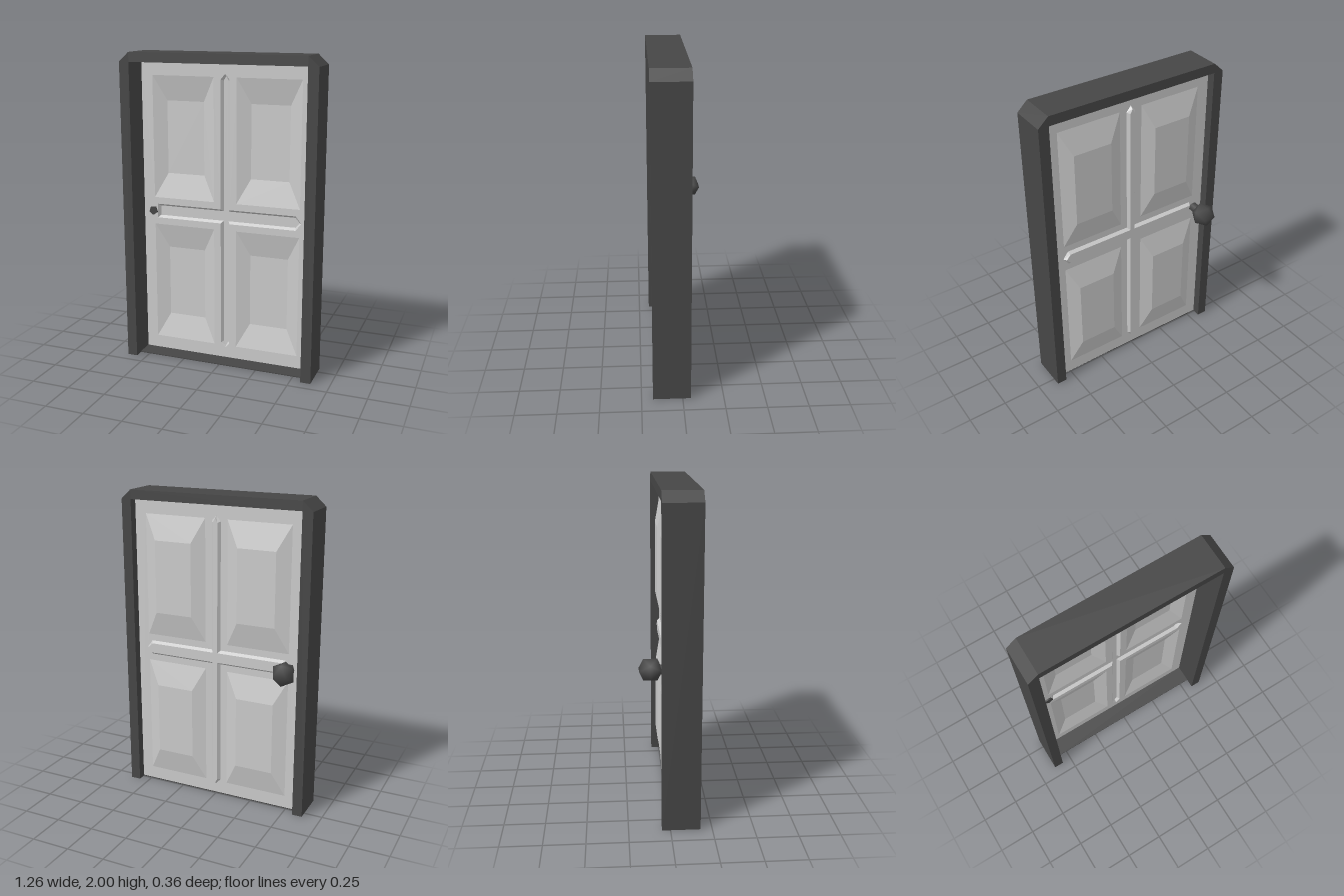
import * as THREE from 'three';
import { mergeVertices } from 'three/addons/utils/BufferGeometryUtils.js';

const SHEET_Z = 0.005;

const toPath = (pts, Type = THREE.Shape) => new Type(pts.map(([x, y]) => new THREE.Vector2(x, y)));

// Counter-clockwise rectangle
const rect = (x0, y0, x1, y1) => [[x0, y0], [x1, y0], [x1, y1], [x0, y1]];

// Cross outline, shrunk by i: pointed at the top, bottom and +x end, cut flat at the -x end
function cross(i) {
  const a = 0.03 - i, b = 0.046 - i, c = 0.97;
  return [
    [0, 0.07 + i], [a, 0.105 + i / 2], [a, c - b], [0.465 - i / 2, c - b], [0.5 - i, c],
    [0.465 - i / 2, c + b], [a, c + b], [a, 1.835 - i / 2], [0, 1.87 - i], [-a, 1.835 - i / 2],
    [-a, c + b], [-0.47 + i, c + b], [-0.47 + i, c - b], [-a, c - b], [-a, 0.105 + i / 2],
  ];
}

// Sloped walls running from the outer outline back to the inner one
function slopes(outer, inner, depth) {
  const pos = [];
  outer.forEach((p, k) => {
    const n = (k + 1) % outer.length;
    const A = [...p, 0], B = [...outer[n], 0];
    const C = [...inner[n], -depth], D = [...inner[k], -depth];
    pos.push(...A, ...B, ...C, ...A, ...C, ...D);
  });
  const geo = new THREE.BufferGeometry();
  geo.setAttribute('position', new THREE.Float32BufferAttribute(pos, 3));
  geo.computeVertexNormals();
  return geo;
}

export function createModel() {
  const group = new THREE.Group();
  const frameMat = new THREE.MeshStandardMaterial({ color: 0x464646 });
  frameMat.name = 'dark grey';
  const doorMat = new THREE.MeshStandardMaterial({ color: 0xcacaca, side: THREE.DoubleSide });
  doorMat.name = 'light grey';

  const add = (name, geo, mat, x = 0, y = 0, z = 0) => {
    const mesh = new THREE.Mesh(geo, mat);
    mesh.name = name;
    mesh.position.set(x, y, z);
    group.add(mesh);
    return mesh;
  };

  // Door frame with chamfered top corners
  const frame = toPath([
    [-0.63, 0], [-0.565, 0], [-0.565, 1.94], [0.565, 1.94], [0.565, 0], [0.63, 0],
    [0.63, 1.94], [0.565, 2], [-0.565, 2], [-0.63, 1.94],
  ]);
  add('frame', new THREE.ExtrudeGeometry(frame, { depth: 0.23, bevelEnabled: false }), frameMat, 0, 0, -0.05);

  // Low sill between the jambs
  add('sill', new THREE.BoxGeometry(1.13, 0.006, 0.115), frameMat, 0, 0.003, SHEET_Z + 0.0575);

  // Pressed door sheet: four panels and a cross, pushed towards the back
  const sheet = toPath(rect(-0.565, 0, 0.565, 1.94));
  const press = (name, outer, inner, depth) => {
    sheet.holes.push(toPath(outer, THREE.Path));
    add(name + 'Slopes', slopes(outer, inner, depth), doorMat, 0, 0, SHEET_Z);
    add(name + 'Face', new THREE.ShapeGeometry(toPath(inner)), doorMat, 0, 0, SHEET_Z - depth);
  };
  for (const x of [-0.49, 0.075]) {
    for (const y of [0.09, 1.06]) {
      press('panel', rect(x, y, x + 0.415, y + 0.79), rect(x + 0.085, y + 0.16, x + 0.335, y + 0.63), 0.035);
    }
  }
  press('cross', cross(0), cross(0.014), 0.02);
  add('doorSheet', new THREE.ShapeGeometry(sheet), doorMat, 0, 0, SHEET_Z);

  // Faceted knob at the back with smooth normals
  let knob = new THREE.IcosahedronGeometry(0.078, 0);
  knob.deleteAttribute('normal');
  knob.deleteAttribute('uv');
  knob = mergeVertices(knob, 1e-4);
  knob.computeVertexNormals();
  add('knob', knob, frameMat, -0.5, 0.97, -0.11).rotation.y = Math.PI / 2;

  // Stem passing through the door
  const stem = new THREE.CylinderGeometry(0.03, 0.03, 0.09, 5).rotateX(Math.PI / 2);
  add('knobStem', stem, frameMat, -0.5, 0.97, -0.03);

  return group;
}
